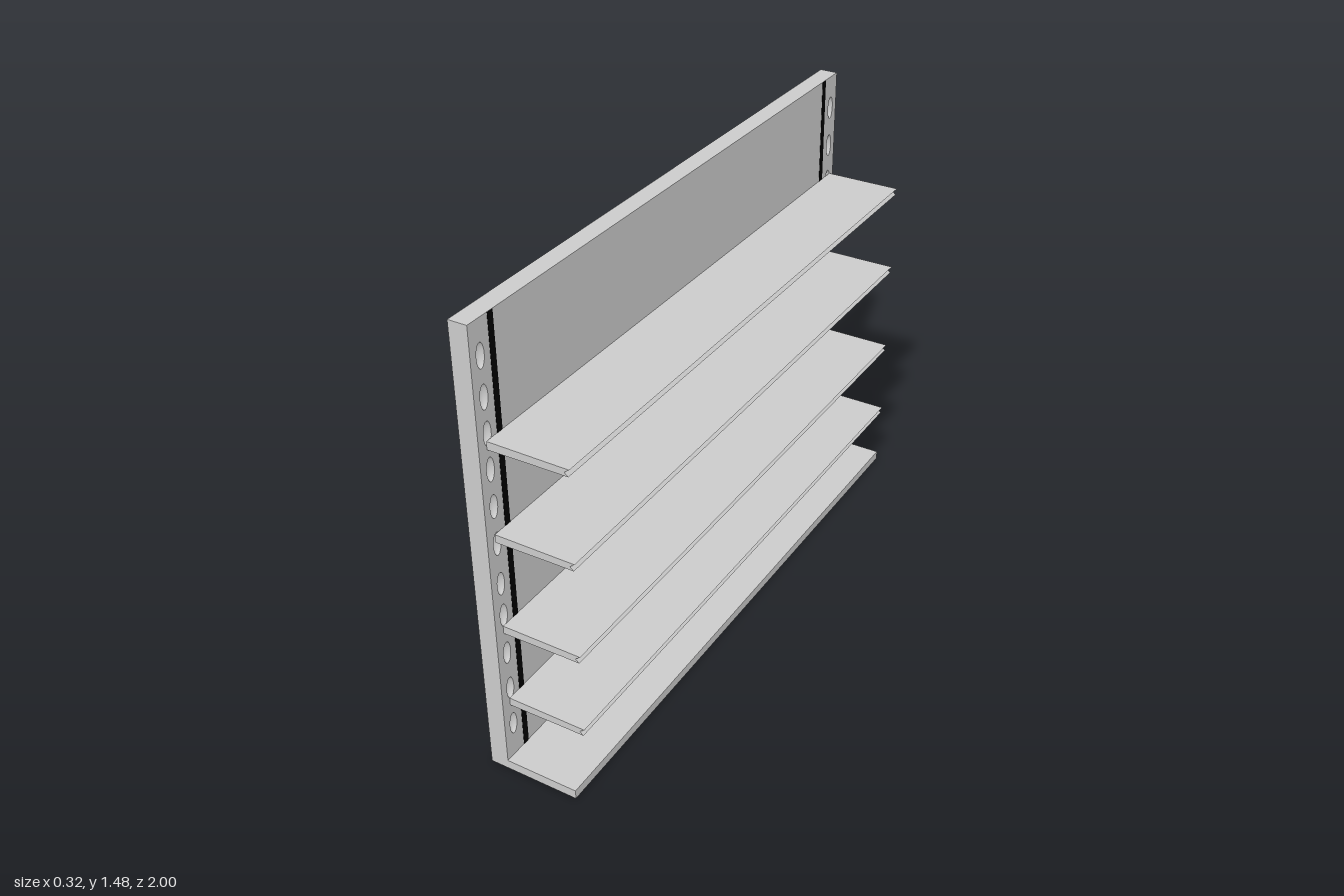
import * as THREE from 'three';

const grey = new THREE.MeshStandardMaterial({ color: 0xcccccc });
const greyDouble = new THREE.MeshStandardMaterial({ color: 0xcccccc, side: THREE.DoubleSide });
const black = new THREE.MeshStandardMaterial({ color: 0x000000 });

const HEIGHT = 1.475;
const BACK = -0.16, FRONT = -0.1, LAYER = 0.02;
const DENT = { width: 0.016, height: 0.038, depth: 0.018 };

function add(parent, name, geometry, material = grey) {
  const mesh = new THREE.Mesh(geometry, material);
  mesh.name = name;
  parent.add(mesh);
  return mesh;
}

// Box given by its lower and upper limits on each axis
function boxBetween([x0, x1], [y0, y1], [z0, z1]) {
  return new THREE.BoxGeometry(x1 - x0, y1 - y0, z1 - z0)
    .translate((x0 + x1) / 2, (y0 + y1) / 2, (z0 + z1) / 2);
}

export function createModel() {
  const model = new THREE.Group();
  model.name = 'wallShelf';

  // Oval dents down both edges of the panel, slightly unevenly spaced
  const dents = [
    [0.96, [1.37, 1.25, 1.14, 1.03, 0.912, 0.79, 0.655, 0.545, 0.41, 0.28, 0.145]],
    [-0.96, [1.365, 1.23, 1.1, 0.965, 0.855, 0.72, 0.6, 0.475, 0.37, 0.26, 0.138]],
  ].flatMap(([z, heights]) => heights.map((y) => ({ z, y })));

  // Back panel: solid slab with a pierced layer on its shelf side
  add(model, 'backPanel', boxBetween([BACK, FRONT - LAYER], [0, HEIGHT], [-1, 1]));
  const face = new THREE.Shape([
    new THREE.Vector2(-1, 0), new THREE.Vector2(1, 0),
    new THREE.Vector2(1, HEIGHT), new THREE.Vector2(-1, HEIGHT),
  ]);
  for (const { z, y } of dents) {
    const hole = new THREE.Path();
    hole.absellipse(-z, y, DENT.width, DENT.height, 0, Math.PI * 2, true);
    face.holes.push(hole);
  }
  const faceGeometry = new THREE.ExtrudeGeometry(face, { depth: LAYER, bevelEnabled: false, curveSegments: 12 })
    .rotateY(Math.PI / 2).translate(FRONT - LAYER, 0, 0);
  add(model, 'panelFace', faceGeometry);

  // Rounded bottoms of the dents
  const bowl = new THREE.SphereGeometry(1, 24, 8, 0, Math.PI * 2, 0, Math.PI / 2)
    .rotateZ(Math.PI / 2).scale(DENT.depth, DENT.height, DENT.width);
  for (const { z, y } of dents) add(model, 'dent', bowl, greyDouble).position.set(FRONT, y, z);

  // Black strips running up both faces of the panel
  for (const z of [-0.907, 0.91]) {
    add(model, 'strip', boxBetween([BACK - 0.001, FRONT + 0.001], [0.03, HEIGHT - 0.001], [z - 0.011, z + 0.011]), black);
  }

  // Base board
  add(model, 'base', boxBetween([FRONT, 0.137], [0, 0.03], [-1, 1]));

  // Shelves with a V groove along the front edge
  const profile = new THREE.Shape([
    [FRONT, -0.026], [0.1, -0.023], [0.152, -0.023], [0.14, -0.012], [0.156, 0], [FRONT, 0],
  ].map(([x, y]) => new THREE.Vector2(x, y)));
  const shelf = new THREE.ExtrudeGeometry(profile, { depth: 1.942, bevelEnabled: false }).translate(0, 0, -0.975);
  for (const top of [1.121, 0.825, 0.511, 0.246]) add(model, 'shelf', shelf).position.y = top;

  return model;
}
